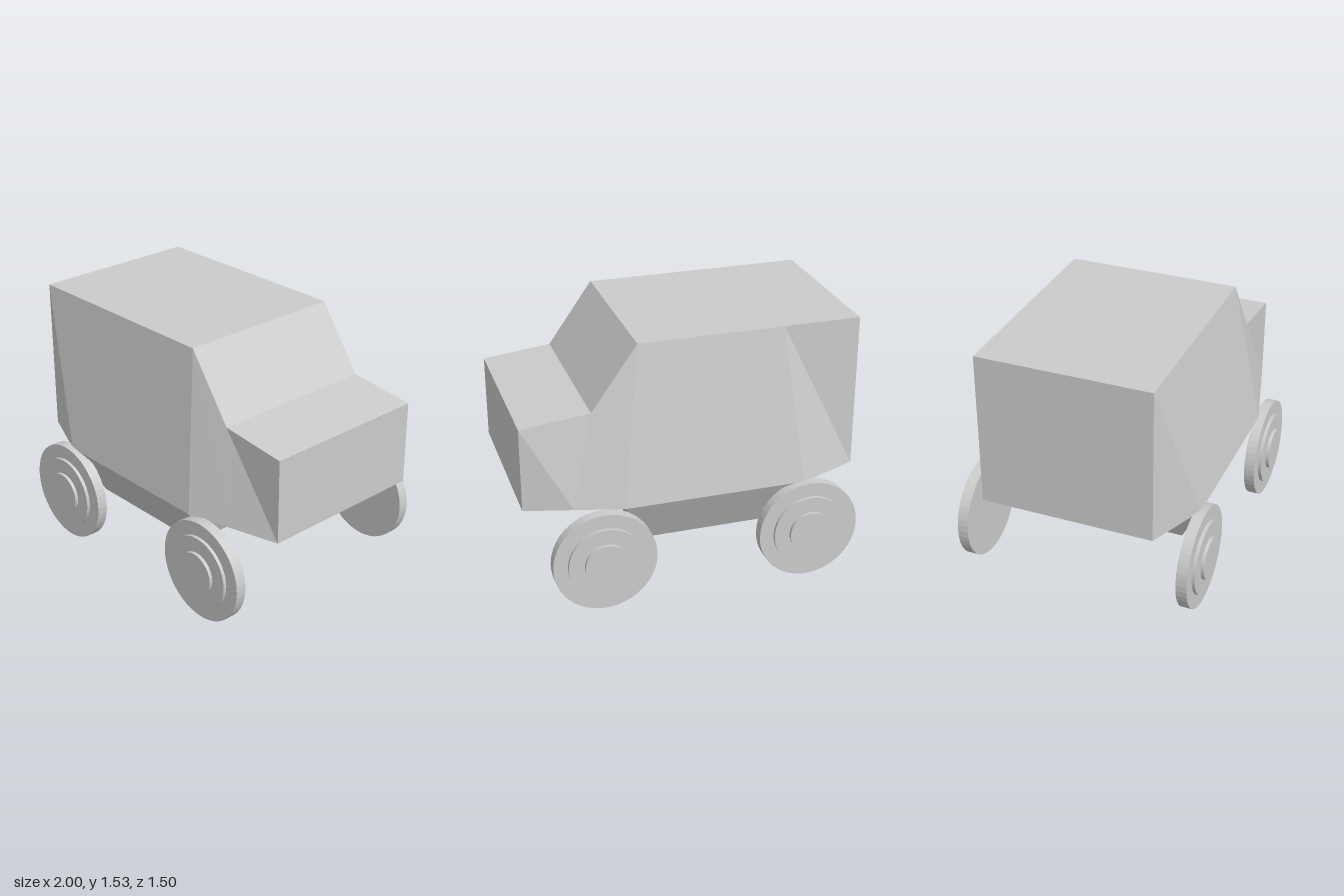
import * as THREE from 'three';

const material = new THREE.MeshStandardMaterial({ color: 0xcccccc, flatShading: true });

// Builds a shell from convex polygons, each listed counter-clockwise from outside.
function polygonMesh(name, polygons) {
  const pos = [];
  for (const p of polygons)
    for (let i = 1; i < p.length - 1; i++) pos.push(...p[0], ...p[i], ...p[i + 1]);
  const geometry = new THREE.BufferGeometry();
  geometry.setAttribute('position', new THREE.Float32BufferAttribute(pos, 3));
  geometry.computeVertexNormals();
  const mesh = new THREE.Mesh(geometry, material);
  mesh.name = name;
  return mesh;
}

const mirror = ([x, y, z]) => [x, y, -z];
const bothSides = (polys) => [...polys, ...polys.map((p) => p.map(mirror).reverse())];
// Quad across the width between two points of the +z side.
const across = (a, b) => [a, b, mirror(b), mirror(a)];

const SILL = 0.6, IN = 0.515, OUT = 0.665;

function createBody() {
  // Upper outline
  const roofRear = [-1, 1.53, IN], roofCrease = [-0.54, 1.53, IN], roofFront = [0.32, 1.53, IN];
  const hoodRear = [0.59, 1.15, IN], hoodFront = [1, 1.105, IN];
  // Flared sill outline
  const sillRear = [-1, SILL, IN], flareRear = [-0.64, SILL, OUT], flareFront = [0.44, SILL, OUT];
  const sillCrease = [0.72, SILL, 0.59], sillFront = [1, SILL, IN];

  const sides = bothSides([
    [roofRear, sillRear, flareRear, roofCrease],
    [roofCrease, flareRear, flareFront, roofFront],
    [roofFront, flareFront, sillCrease, hoodRear],
    [hoodRear, sillCrease, sillFront, hoodFront],
  ]);
  // Roof, windscreen, hood, nose, floor and tail
  const loop = [roofRear, roofFront, hoodRear, hoodFront, sillFront,
    sillCrease, flareFront, flareRear, sillRear, roofRear];
  const skin = loop.slice(1).map((p, i) => across(loop[i], p));
  return polygonMesh('body', [...sides, ...skin]);
}

function createUnderbody() {
  // Tapered belly below the sill
  const a = [-0.64, SILL, OUT], b = [-0.52, 0.305, IN];
  const c = [0.325, 0.305, IN], d = [0.44, SILL, OUT];
  return polygonMesh('underbody', [
    ...bothSides([[a, b, c, d]]),
    across(d, c), across(c, b), across(b, a),
  ]);
}

// Stepped wheel: tyre, rim and hub discs stacked outwards along +z
function createWheel(name) {
  const wheel = new THREE.Group();
  wheel.name = name;
  const inner = 0.645;
  for (const [part, radius, outer] of [['tyre', 0.305, 0.71], ['rim', 0.22, 0.73], ['hub', 0.127, 0.75]]) {
    const geometry = new THREE.CylinderGeometry(radius, radius, outer - inner, 48);
    geometry.rotateX(Math.PI / 2).translate(0, 0, (outer + inner) / 2);
    const mesh = new THREE.Mesh(geometry, material);
    mesh.name = part;
    wheel.add(mesh);
  }
  return wheel;
}

export function createModel() {
  const model = new THREE.Group();
  model.name = 'van';
  const body = createBody(), underbody = createUnderbody();
  body.position.z = underbody.position.z = 0.006;
  model.add(body, underbody);
  for (const [end, x] of [['Nose', 0.575], ['Tail', -0.66]])
    for (const side of [1, -1]) {
      const wheel = createWheel(`wheel${end}${side > 0 ? 'Near' : 'Far'}`);
      wheel.position.set(x, 0.305, 0);
      wheel.rotation.y = side > 0 ? 0 : Math.PI;
      model.add(wheel);
    }
  return model;
}
